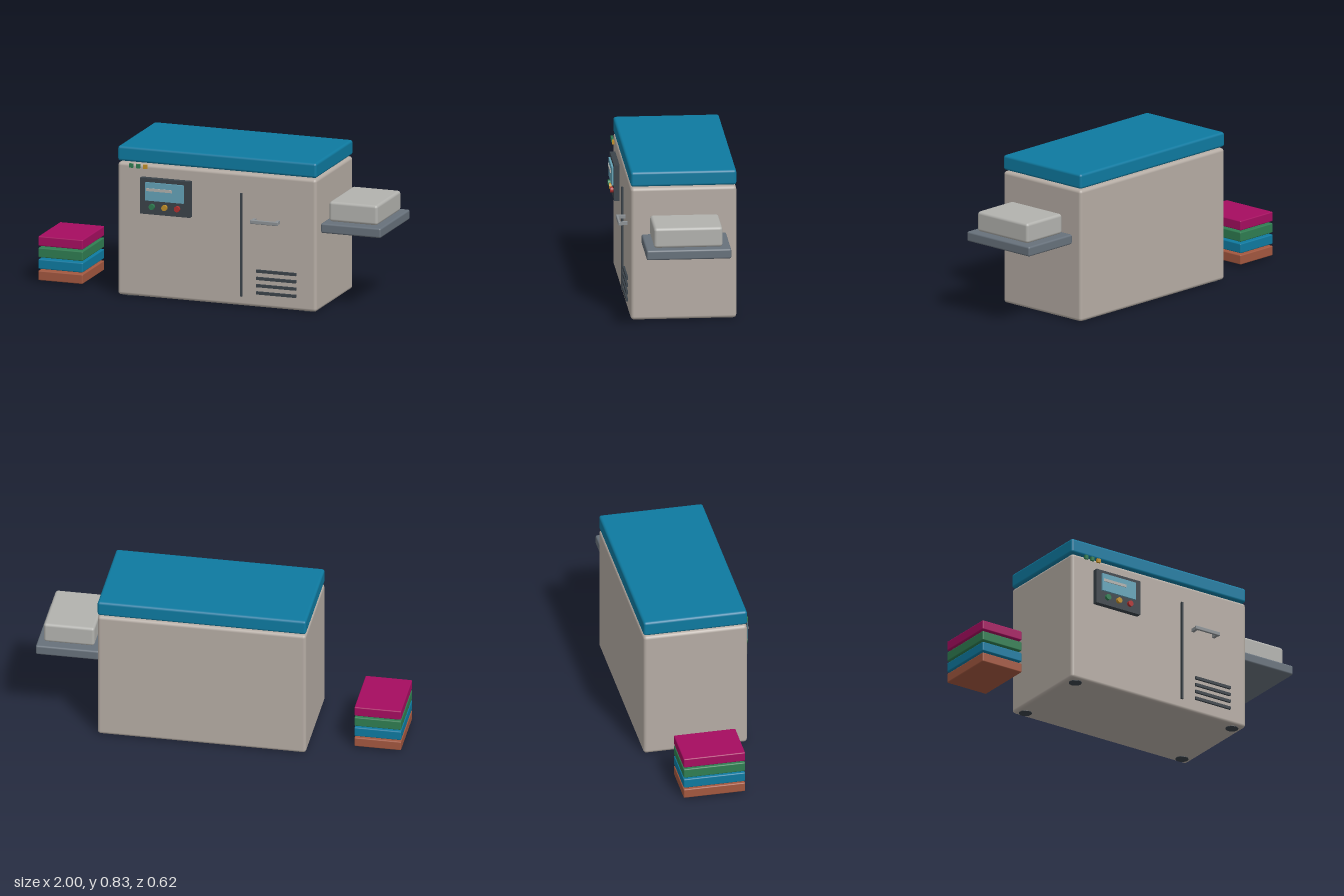
import * as THREE from 'three';
import { RoundedBoxGeometry } from 'three/addons/geometries/RoundedBoxGeometry.js';

const mat = (color) => new THREE.MeshStandardMaterial({ color });
const M = {
  body: mat(0xb5aca4), blue: mat(0x0e7aa0), slate: mat(0x67717b), paper: mat(0xb2b2ae),
  dark: mat(0x3b434a), screen: mat(0x64a3b8), steel: mat(0x8d9296), green: mat(0x2f7d51),
  amber: mat(0xc0902a), red: mat(0xb03030), magenta: mat(0xa50d60), brick: mat(0xa2573f),
};

export function createModel() {
  const root = new THREE.Group();

  const add = (name, geometry, material, x, y, z) => {
    const mesh = new THREE.Mesh(geometry, material);
    mesh.name = name;
    mesh.position.set(x, y, z);
    root.add(mesh);
    return mesh;
  };

  // Box given by its extents, with optionally rounded edges
  const box = (name, material, [x0, x1], [y0, y1], [z0, z1], radius = 0) => {
    const size = [x1 - x0, y1 - y0, z1 - z0];
    const geometry = radius
      ? new RoundedBoxGeometry(...size, 2, radius)
      : new THREE.BoxGeometry(...size);
    return add(name, geometry, material, (x0 + x1) / 2, (y0 + y1) / 2, (z0 + z1) / 2);
  };

  // Cabinet and lid
  box('cabinet', M.body, [-0.497, 0.65], [0.005, 0.745], [-0.312, 0.262], 0.018);
  box('lid', M.blue, [-0.497, 0.65], [0.752, 0.835], [-0.312, 0.262], 0.014);

  // Feet, barely showing under the cabinet
  for (const x of [-0.44, 0.59]) {
    for (const z of [-0.262, 0.212]) {
      add('foot', new THREE.CylinderGeometry(0.035, 0.035, 0.03, 20), M.dark, x, 0.017, z);
    }
  }

  // Output tray with a pile of paper
  box('tray', M.slate, [0.654, 1], [0.435, 0.49], [-0.255, 0.205], 0.01);
  box('paperPile', M.paper, [0.685, 0.965], [0.492, 0.604], [-0.21, 0.162], 0.016);

  // Control panel
  box('controlPanel', M.dark, [-0.355, -0.068], [0.477, 0.677], [0.26, 0.292]);
  box('screen', M.screen, [-0.322, -0.103], [0.555, 0.656], [0.29, 0.302]);
  box('screenBar', M.paper, [-0.315, -0.168], [0.609, 0.625], [0.3, 0.306]);
  [M.green, M.amber, M.red].forEach((material, i) => {
    const button = add('button', new THREE.CylinderGeometry(0.016, 0.016, 0.018, 20),
      material, -0.285 + i * 0.073, 0.522, 0.299);
    button.rotation.x = Math.PI / 2;
  });

  // Status lights
  [M.green, M.green, M.amber].forEach((material, i) => {
    const x = -0.412 + i * 0.04;
    box('statusLight', material, [x - 0.011, x + 0.011], [0.725, 0.747], [0.27, 0.282]);
  });

  // Door seam, handle and vents
  box('doorSeam', M.dark, [0.215, 0.226], [0.06, 0.636], [0.267, 0.278]);
  box('handleBar', M.steel, [0.285, 0.445], [0.48, 0.502], [0.3, 0.313], 0.004);
  for (const x of [0.297, 0.433]) {
    box('handlePost', M.steel, [x - 0.008, x + 0.008], [0.482, 0.5], [0.26, 0.304]);
  }
  for (let i = 0; i < 4; i++) {
    const y = 0.088 + i * 0.0405;
    box('vent', M.dark, [0.308, 0.537], [y - 0.008, y + 0.008], [0.267, 0.278]);
  }

  // Stack of coloured reams beside the cabinet
  [M.brick, M.blue, M.green, M.magenta].forEach((material, i) => {
    const y = 0.012 + i * 0.064;
    box('ream', material, [-1, -0.743], [y, y + 0.054], [-0.2, 0.141], 0.006);
  });

  return root;
}
